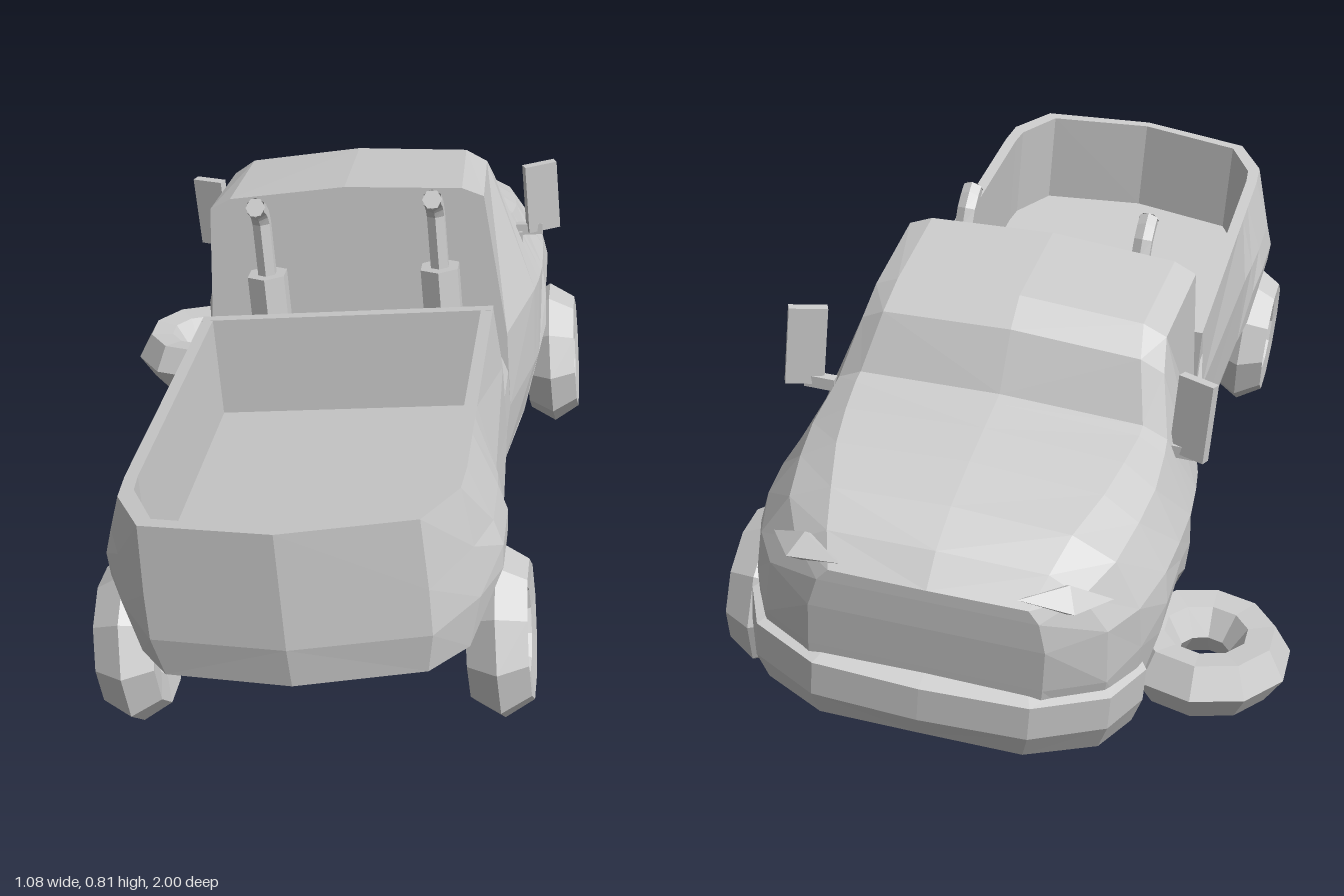
import * as THREE from 'three';

const mat = new THREE.MeshStandardMaterial({ color: 0xcccccc, flatShading: true, side: THREE.DoubleSide });

function add(parent, name, geo, x = 0, y = 0, z = 0) {
  const m = new THREE.Mesh(geo, mat);
  m.name = name;
  m.position.set(x, y, z);
  parent.add(m);
  return m;
}

// Skin across half cross-sections (rows of [x, y, z]), mirrored to both sides
function mirroredSkin(rows) {
  const pos = [], idx = [], n = rows[0].length;
  for (const s of [1, -1]) {
    const base = pos.length / 3;
    rows.forEach(r => r.forEach(p => pos.push(p[0] * s, p[1], p[2])));
    for (let i = 0; i < rows.length - 1; i++) for (let j = 0; j < n - 1; j++) {
      const a = base + i * n + j, b = a + 1, c = a + n, d = c + 1;
      if (s > 0) idx.push(a, c, b, b, c, d);
      else idx.push(a, b, c, b, d, c);
    }
  }
  const g = new THREE.BufferGeometry();
  g.setAttribute('position', new THREE.Float32BufferAttribute(pos, 3));
  g.setIndex(idx);
  g.computeVertexNormals();
  return g;
}

const toCentre = row => row.map(p => [0, p[1], p[2]]);

function wheelGeometry() {
  const half = [[0.048, 0], [0.08, -0.05], [0.132, -0.056], [0.166, 0], [0.132, 0.056], [0.08, 0.05], [0.048, 0]];
  return new THREE.LatheGeometry(half.map(p => new THREE.Vector2(...p)), 10);
}

export function createModel() {
  const model = new THREE.Group();
  const truck = new THREE.Group();
  truck.name = 'truck';
  // the truck leans and dips towards its missing wheel
  truck.rotation.set(-0.08, 0, 0.105);
  truck.position.set(0.1, 0.009, 0.013);
  model.add(truck);

  // Cab: roof centre, roof edge, roof corner, belt, lower crease, sill
  const cabRear = [[0, 0.77, -0.125], [0.25, 0.755, -0.125], [0.295, 0.735, -0.125], [0.325, 0.42, -0.125], [0.322, 0.25, -0.125], [0.295, 0.1, -0.125]];
  const roofFront = [[0, 0.77, -0.4], [0.24, 0.755, -0.395], [0.285, 0.73, -0.385], [0.375, 0.43, -0.36], [0.365, 0.25, -0.36], [0.32, 0.1, -0.36]];
  const screenTop = [[0, 0.725, -0.455], [0.25, 0.71, -0.45], [0.295, 0.68, -0.435], [0.382, 0.43, -0.42], [0.372, 0.25, -0.41], [0.325, 0.1, -0.4]];
  const screenBase = [[0, 0.615, -0.51], [0.275, 0.6, -0.5], [0.322, 0.57, -0.485], [0.385, 0.43, -0.47], [0.375, 0.27, -0.45], [0.33, 0.1, -0.43]];
  add(truck, 'cab', mirroredSkin([toCentre(cabRear), cabRear, roofFront, screenTop, screenBase]));

  // Hood, fenders with wheel arch, and nose
  const nose = [[0, 0.49, -0.98], [0.18, 0.485, -0.972], [0.2, 0.46, -0.972], [0.215, 0.4, -0.97], [0.215, 0.31, -0.962], [0.21, 0.19, -0.95]];
  add(truck, 'hood', mirroredSkin([
    screenBase,
    [[0, 0.612, -0.54], [0.275, 0.595, -0.53], [0.325, 0.56, -0.52], [0.387, 0.43, -0.51], [0.392, 0.36, -0.5], [0.388, 0.29, -0.49]],
    [[0, 0.605, -0.62], [0.265, 0.59, -0.62], [0.328, 0.545, -0.62], [0.385, 0.44, -0.62], [0.39, 0.39, -0.6], [0.387, 0.345, -0.59]],
    [[0, 0.595, -0.72], [0.25, 0.58, -0.72], [0.318, 0.535, -0.72], [0.378, 0.44, -0.72], [0.388, 0.38, -0.73], [0.383, 0.32, -0.74]],
    [[0, 0.575, -0.84], [0.22, 0.565, -0.84], [0.3, 0.52, -0.83], [0.352, 0.43, -0.83], [0.362, 0.34, -0.82], [0.35, 0.18, -0.81]],
    [[0, 0.54, -0.93], [0.2, 0.53, -0.92], [0.26, 0.49, -0.91], [0.31, 0.42, -0.9], [0.318, 0.31, -0.9], [0.305, 0.18, -0.88]],
    nose, toCentre(nose),
  ]));

  // Bumper: plan points swept with one cross-section
  const bumperPlan = [[0, -0.995], [0.2, -0.985], [0.33, -0.91], [0.375, -0.81]];
  add(truck, 'frontBumper', mirroredSkin(bumperPlan.map(([x, z], i) => [
    [x * 0.9, 0.3, z + 0.05], [x, 0.285, z], [x, 0.215, z], [x * 0.95, 0.165 - i * 0.008, z + 0.025], [x * 0.82, 0.165 - i * 0.008, z + 0.08],
  ])));

  // Deck between cab and bed
  const deck = z => [[0, 0.365, z], [0.31, 0.365, z], [0.322, 0.33, z], [0.322, 0.25, z], [0.295, 0.1, z]];
  add(truck, 'deck', mirroredSkin([deck(-0.125), deck(0.01)]));

  // Bed: [top x, z, belt x, belt y, crease x, crease y, bottom x, bottom y]
  const bedPlan = [
    [0.31, 0.01, 0.322, 0.4, 0.322, 0.25, 0.295, 0.1],
    [0.31, 0.51, 0.338, 0.405, 0.34, 0.25, 0.295, 0.1],
    [0.31, 0.56, 0.345, 0.42, 0.355, 0.35, 0.352, 0.27],
    [0.31, 0.63, 0.35, 0.43, 0.365, 0.38, 0.362, 0.335],
    [0.31, 0.77, 0.35, 0.43, 0.365, 0.38, 0.362, 0.335],
    [0.305, 0.85, 0.32, 0.42, 0.325, 0.32, 0.3, 0.22],
    [0.245, 0.965, 0.25, 0.4, 0.25, 0.31, 0.235, 0.23],
    [0, 1.01, 0, 0.4, 0, 0.31, 0, 0.23],
  ];
  const inset = (z, i) => (i > 4 ? z - 0.025 : z);
  add(truck, 'bed', mirroredSkin(bedPlan.map(([tx, z, bx, by, cx, cy, lx, ly], i) => {
    const inZ = inset(z, i), tail = i > 5 ? 1 : 0;
    return [
      [tx * 0.92, 0.32, inZ], [tx * 0.92, 0.535, inZ], [tx, 0.535, z], [bx, by, z], [cx, cy, z], [lx, ly, z - 0.015 * tail],
      [lx * (tail ? 0.92 : 1), ly - 0.03 * tail, z - 0.08 * tail],
    ];
  })));
  add(truck, 'bedFrontWall', new THREE.BoxGeometry(0.62, 0.215, 0.025), 0, 0.428, 0.012);

  // Floor runs from the firewall to the tail and follows the plan of the bed
  const floorRow = (x, z) => [[0, 0.32, z], [x, 0.32, z]];
  add(truck, 'floor', mirroredSkin([
    floorRow(0.37, -0.44), floorRow(0.32, -0.125),
    ...bedPlan.map(([x, z], i) => floorRow(x * (i < 5 ? 1.02 : 0.93), inset(z, i))),
  ]));
  add(truck, 'firewall', new THREE.BoxGeometry(0.7, 0.3, 0.01), 0, 0.39, -0.44);
  // Sills fold inwards under the body
  const sill = (x, z) => [[x, 0.1, z], [0.165, 0.1, z]];
  add(truck, 'sills', mirroredSkin([sill(0.33, -0.43), sill(0.295, -0.125), sill(0.295, 0.51)]));

  // Wheels: three mounted, one lying flat beside the bare hub
  const wheel = wheelGeometry();
  for (const [name, x, z] of [['rearLeftWheel', 0.345, 0.7], ['rearRightWheel', -0.345, 0.7], ['frontLeftWheel', 0.394, -0.62]]) {
    add(truck, name, wheel, x, 0.166, z).rotation.z = Math.PI / 2;
  }
  const loose = add(model, 'looseWheel', wheel, -0.378, 0.116, -0.622);
  loose.rotation.set(-0.03, 0, 0.06);

  for (const s of [1, -1]) {
    const side = s > 0 ? 'left' : 'right';

    // Exhaust stack with a tip bent backwards
    const stack = new THREE.Group();
    stack.name = side + 'Exhaust';
    stack.position.set(0.014 + s * 0.185, -0.02, -0.05);
    truck.add(stack);
    add(stack, 'muffler', new THREE.CylinderGeometry(0.045, 0.045, 0.26, 6), 0, 0.5, 0);
    const path = new THREE.CurvePath();
    const pts = [[0.62, 0], [0.745, 0], [0.775, 0.015], [0.795, 0.05]].map(([y, z]) => new THREE.Vector3(0, y, z));
    for (let i = 0; i < 3; i++) path.add(new THREE.LineCurve3(pts[i], pts[i + 1]));
    add(stack, 'pipe', new THREE.TubeGeometry(path, 8, 0.021, 6));
    const cap = add(stack, 'pipeEnd', new THREE.CircleGeometry(0.021, 6), 0, 0.795, 0.05);
    cap.rotation.x = -0.5;

    // Wing mirror on a short arm
    const mirror = add(truck, side + 'Mirror', new THREE.BoxGeometry(0.075, 0.16, 0.02), 0.016 + s * 0.38, 0.615, -0.465);
    mirror.rotation.set(0.08, s * 0.4, 0);
    add(truck, side + 'MirrorArm', new THREE.BoxGeometry(0.06, 0.025, 0.02), 0.01 + s * 0.355, 0.54, -0.465);

    // Headlight wedge
    const lamp = add(truck, side + 'Headlight', new THREE.OctahedronGeometry(1), s * 0.235, 0.49, -0.925);
    lamp.scale.set(0.09, 0.03, 0.045);
    lamp.rotation.set(0, -s * 0.55, -s * 0.15);
  }
  return model;
}
